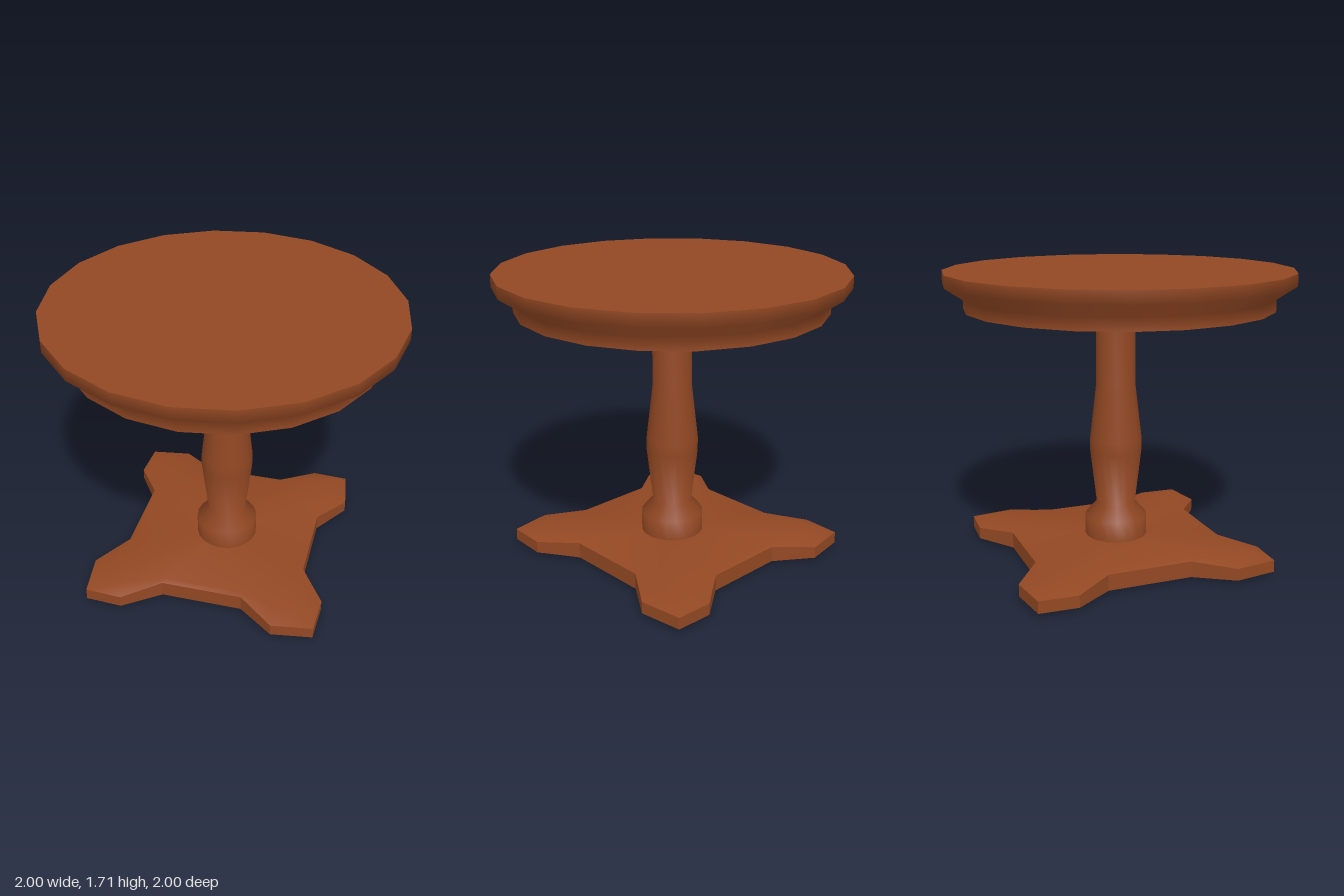
import * as THREE from 'three';
import { toCreasedNormals } from 'three/addons/utils/BufferGeometryUtils.js';

const wood = new THREE.MeshStandardMaterial({ color: 0x934823 });
wood.name = 'brown wood';

// Turned part from [radius, height] pairs, listed bottom to top
function turned(name, profile, sides, crease) {
  const lathe = new THREE.LatheGeometry(profile.map(([r, y]) => new THREE.Vector2(r, y)), sides);
  const mesh = new THREE.Mesh(toCreasedNormals(lathe, crease), wood);
  mesh.name = name;
  return mesh;
}

// One quarter of a base ring, repeated by quarter turns: [x, y, z]
function ring(quarter) {
  const points = [];
  for (let k = 0; k < 4; k++) {
    for (const [px, y, pz] of quarter) {
      let x = px, z = pz;
      for (let i = 0; i < k; i++) [x, z] = [z, -x];
      points.push([x, y, z * 1.04 - 0.03]);
    }
  }
  return points;
}

// Flat base with four corner feet, skinned through rings from underside to top
function baseGeometry() {
  const rings = [
    [[0.52, 0.012, -0.24], [0.6, 0.012, -0.42], [0.58, 0.012, -0.58], [0.42, 0.012, -0.6], [0.24, 0.012, -0.52]],
    [[0.55, 0.015, -0.24], [0.70, 0.02, -0.45], [0.665, 0.02, -0.69], [0.45, 0.02, -0.70], [0.24, 0.015, -0.55]],
    [[0.55, 0.11, -0.24], [0.70, 0.09, -0.45], [0.665, 0.09, -0.69], [0.45, 0.09, -0.70], [0.24, 0.11, -0.55]],
    [[0.52, 0.12, -0.22], [0.59, 0.12, -0.42], [0.58, 0.12, -0.58], [0.42, 0.12, -0.59], [0.22, 0.12, -0.52]],
  ].map(ring);
  rings[0][17][1] = 0; // one foot sits slightly lower
  const n = rings[0].length;
  const points = [...rings.flat(), [0, 0.012, -0.03], [0, 0.12, -0.03]];
  const bottom = points.length - 2, top = points.length - 1, last = 3 * n;
  const index = [];
  for (let i = 0; i < n; i++) {
    const j = (i + 1) % n;
    for (let r = 0; r < 3; r++) {
      const a = r * n + i, b = r * n + j;
      index.push(a, b, b + n, a, b + n, a + n);
    }
    index.push(bottom, j, i, top, last + i, last + j);
  }
  const geometry = new THREE.BufferGeometry();
  geometry.setAttribute('position', new THREE.Float32BufferAttribute(points.flat(), 3));
  geometry.setIndex(index);
  return toCreasedNormals(geometry, 0.6);
}

export function createModel() {
  const table = new THREE.Group();
  table.name = 'pedestalTable';

  // Round top with a stepped underside
  table.add(turned('tableTop', [
    [0, 1.49], [0.888, 1.49], [0.888, 1.56], [1, 1.635], [1, 1.705], [0, 1.705],
  ], 20, 1.1));

  // Turned column, slightly off centre
  const column = turned('column', [
    [0.184, 0.115], [0.184, 0.24], [0.115, 0.32], [0.153, 0.64], [0.153, 0.71], [0.115, 1.04], [0.115, 1.495],
  ], 20, 0.9);
  column.position.set(0.015, 0, -0.018);
  table.add(column);

  // Four-footed base
  const base = new THREE.Mesh(baseGeometry(), wood);
  base.name = 'base';
  table.add(base);

  return table;
}
